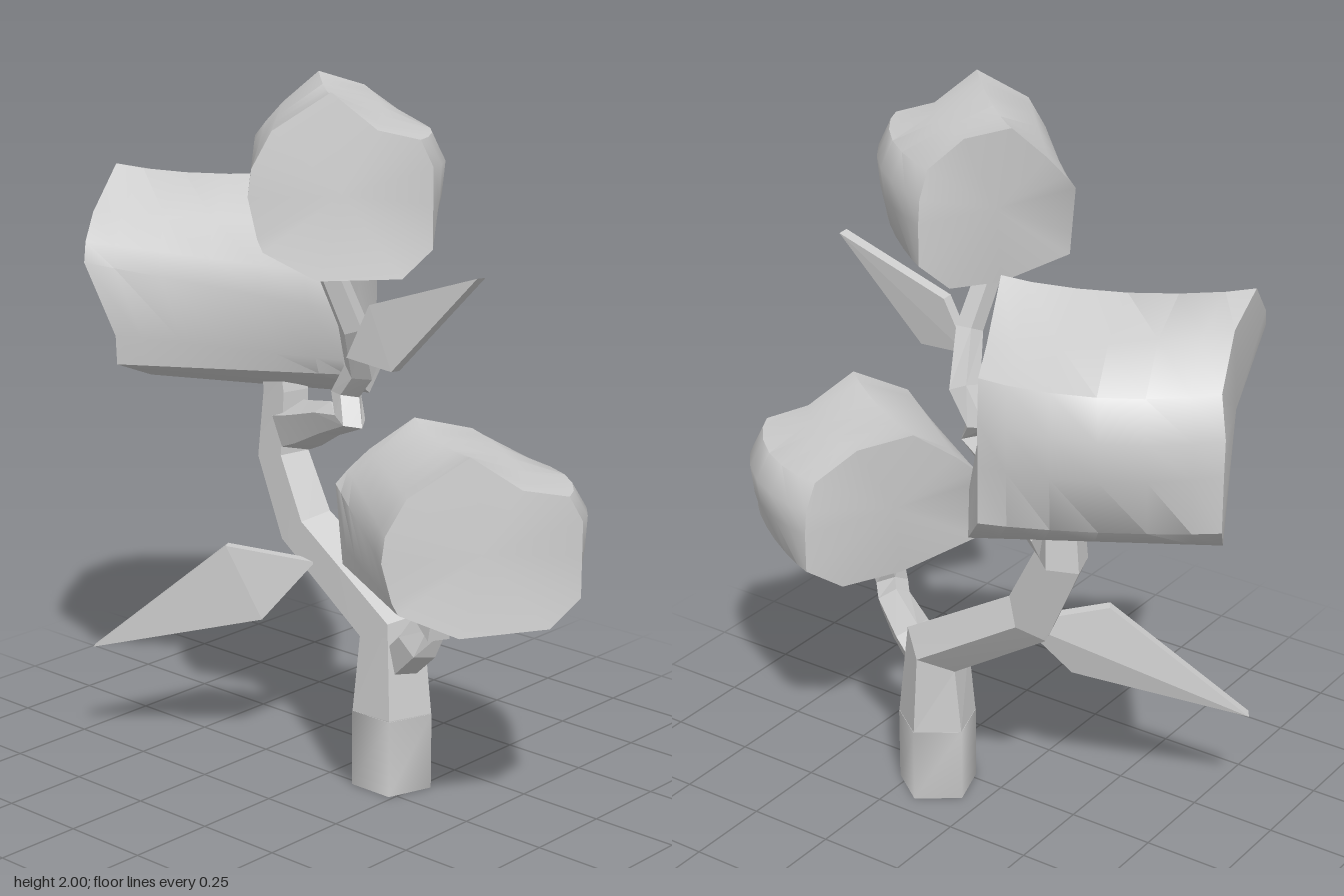
import * as THREE from 'three';
import { toCreasedNormals } from 'three/addons/utils/BufferGeometryUtils.js';
import { ConvexGeometry } from 'three/addons/geometries/ConvexGeometry.js';

const V = (x, y, z) => new THREE.Vector3(x, y, z);
const material = new THREE.MeshStandardMaterial({ color: 0xcccccc });

function part(name, geometry) {
  const mesh = new THREE.Mesh(geometry, material);
  mesh.name = name;
  return mesh;
}

// Skin a row of closed rings and cap both ends; edges sharper than crease stay hard
function loft(rings, crease) {
  const pos = [];
  const tri = (a, b, c) => pos.push(...a.toArray(), ...b.toArray(), ...c.toArray());
  const n = rings[0].length;
  const centre = ring => ring.reduce((s, p) => s.add(p), V(0, 0, 0)).divideScalar(n);
  const last = rings[rings.length - 1];
  const c0 = centre(rings[0]), c1 = centre(last);
  for (let j = 0; j < n; j++) {
    const k = (j + 1) % n;
    for (let i = 0; i < rings.length - 1; i++) {
      const r = rings[i], s = rings[i + 1];
      tri(r[j], r[k], s[k]);
      tri(r[j], s[k], s[j]);
    }
    tri(c0, rings[0][k], rings[0][j]);
    tri(c1, last[j], last[k]);
  }
  const geometry = new THREE.BufferGeometry();
  geometry.setAttribute('position', new THREE.Float32BufferAttribute(pos, 3));
  return toCreasedNormals(geometry, crease);
}

// Five-sided limb along points [x, y, z, radius]
function limb(points, crease = 0.05) {
  const path = points.map(p => V(p[0], p[1], p[2]));
  const normal = V(1, 0, 0);
  const rings = path.map((p, i) => {
    const a = path[Math.max(i - 1, 0)], b = path[Math.min(i + 1, path.length - 1)];
    const t = V(0, 0, 0);
    if (i > 0) t.add(p.clone().sub(a).normalize());
    if (i < path.length - 1) t.add(b.clone().sub(p).normalize());
    t.normalize();
    normal.addScaledVector(t, -normal.dot(t)).normalize();
    const side = t.clone().cross(normal);
    return Array.from({ length: 5 }, (_, j) => {
      const ang = j / 5 * Math.PI * 2;
      return p.clone().addScaledVector(normal, points[i][3] * Math.cos(ang))
        .addScaledVector(side, points[i][3] * Math.sin(ang));
    });
  });
  return loft(rings, crease);
}

// End outlines of a foliage block: across (u), up (v), shift along its length (w)
const frontEnd = [[0, .45, 0], [.02, .6, .01], [.13, .8, .03], [.45, 1, .06],
  [.7, .8, .02], [.93, .75, 0], [1, .6, 0], [1, .4, 0], [1, .15, 0],
  [.83, 0, -.05], [.37, 0, -.07], [.08, .15, -.02], [.05, .22, -.01]];
const backEnd = [[0, .6, 0], [.07, .68, .02], [.18, .79, .03], [.41, .97, .02],
  [.7, .9, -.02], [.93, .72, -.03], [.99, .55, 0], [1, .4, 0], [1, .15, 0],
  [.8, 0, -.02], [.45, 0, -.1], [.01, .15, -.12], [0, .28, -.12]];

// Foliage block between four plan corners [x, z], bulging on its u = 1 side
function foliage([a0, a1, b0, b1], y0, y1) {
  const lerp = THREE.MathUtils.lerp;
  const rings = [0, .12, .3, .5, .7, .88, 1].map(t => frontEnd.map((p, j) => {
    let [u, v, shift] = p.map((value, i) => lerp(value, backEnd[j][i], t));
    const swell = Math.sin(Math.PI * t) ** 0.75;
    u += 0.13 * swell * Math.max(0, u - 0.4) / 0.6 * Math.min(1, v * 2);
    if (v > 0.95) v -= 0.045 * swell;
    const at = i => lerp(lerp(a0[i], a1[i], u), lerp(b0[i], b1[i], u), t + shift);
    return V(at(0), lerp(y0, y1, v), at(1));
  }));
  return loft(rings, 0.75);
}

// Flat kite-shaped leaf of even thickness
function leaf(base, sideA, sideB, tip) {
  const n = sideA.clone().sub(sideB).cross(tip.clone().sub(base)).normalize();
  return new ConvexGeometry([base, sideA, sideB, tip].flatMap(p =>
    [0.016, -0.016].map(d => p.clone().addScaledVector(n, d))));
}

export function createModel() {
  const tree = new THREE.Group();
  tree.name = 'tree';

  // Trunk
  tree.add(part('trunkBase', limb([[.074, 0, .17, .116], [.074, .22, .17, .116]], 1.3)));
  tree.add(part('trunk', limb([[.074, .1, .17, .11], [.074, .22, .17, .115],
    [.083, .46, .16, .098], [.1, .67, -.175, .083], [.105, .87, -.27, .076],
    [.105, 1.06, -.26, .066], [.1, 1.2, -.28, .06]])));

  // Branches
  tree.add(part('lowerBranch', limb([[.06, .38, .21, .06], [.04, .45, .29, .06],
    [.05, .54, .34, .05], [-.02, .54, .40, .05], [-.01, .62, .41, .052],
    [0, .72, .45, .045]])));
  tree.add(part('upperBranch', limb([[.12, .94, -.26, .08], [.07, .98, -.14, .068],
    [0, 1.035, 0, .05], [-.06, 1.07, .13, .045], [-.03, 1.13, .09, .044],
    [-.04, 1.21, .15, .046], [-.12, 1.35, .19, .04], [-.22, 1.6, .15, .036]])));

  // Foliage
  tree.add(part('topFoliage', foliage(
    [[-.52, .20], [-.19, .52], [-.14, -.14], [.12, .18]], 1.54, 2.0)));
  tree.add(part('lowerFoliage', foliage(
    [[-.39, .53], [.06, .82], [-.12, .13], [.30, .45]], .63, 1.09)));
  tree.add(part('largeFoliage', foliage(
    [[0, .03], [.52, -.29], [-.34, -.60], [.22, -.82]], 1.06, 1.69)));

  // Leaves
  tree.add(part('upperLeaf', leaf(V(-.14, 1.27, .2), V(-.13, 1.42, .27),
    V(-.145, 1.26, .36), V(-.12, 1.54, .62))));
  tree.add(part('lowerLeaf', leaf(V(.04, .6, -.09), V(-.11, .64, -.29),
    V(-.06, .43, -.2), V(-.31, .31, -.63))));
  return tree;
}
